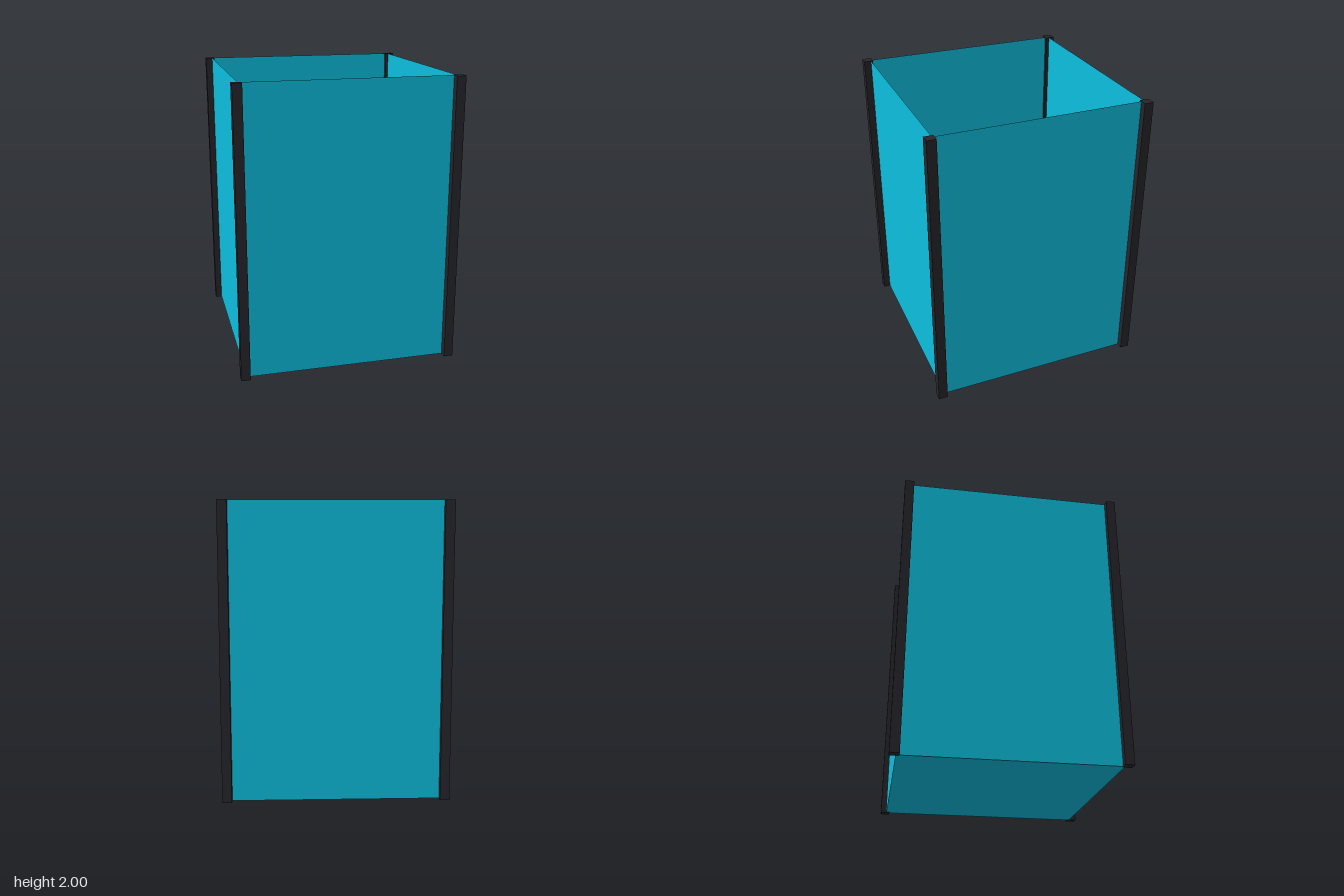
import * as THREE from 'three';

export function createModel() {
  const model = new THREE.Group();
  const blue = new THREE.MeshStandardMaterial({ color: 0x0dbede, side: THREE.DoubleSide });
  const black = new THREE.MeshStandardMaterial({ color: 0x26252b });

  const height = 2, post = 0.064;
  const x0 = -0.717, x1 = 0.719, z0 = -0.722, z1 = 0.714;
  const width = x1 - x0, depth = z1 - z0;
  const cx = (x0 + x1) / 2, cz = (z0 + z1) / 2;

  function addPanel(name, w, h, position, rotation) {
    const mesh = new THREE.Mesh(new THREE.PlaneGeometry(w, h), blue);
    mesh.name = name;
    mesh.position.set(...position);
    mesh.rotation.set(...rotation);
    model.add(mesh);
  }

  // Thin walls, open at the top
  addPanel('frontWall', width, height, [cx, height / 2, z1], [0, 0, 0]);
  addPanel('backWall', width, height, [cx, height / 2, z0], [0, Math.PI, 0]);
  addPanel('leftWall', depth, height, [x1, height / 2, cz], [0, Math.PI / 2, 0]);
  addPanel('rightWall', depth, height, [x0, height / 2, cz], [0, -Math.PI / 2, 0]);

  // Floor sheet
  addPanel('floor', width, depth, [cx, 0.002, cz], [-Math.PI / 2, 0, 0]);

  // Square corner posts
  const posts = [
    ['backRightPost', -0.731, -0.731],
    ['backLeftPost', 0.731, -0.731],
    ['frontRightPost', -0.728, 0.731],
    ['frontLeftPost', 0.73, 0.731],
  ];
  for (const [name, x, z] of posts) {
    const mesh = new THREE.Mesh(new THREE.BoxGeometry(post, height, post), black);
    mesh.name = name;
    mesh.position.set(x, height / 2, z);
    model.add(mesh);
  }

  return model;
}
